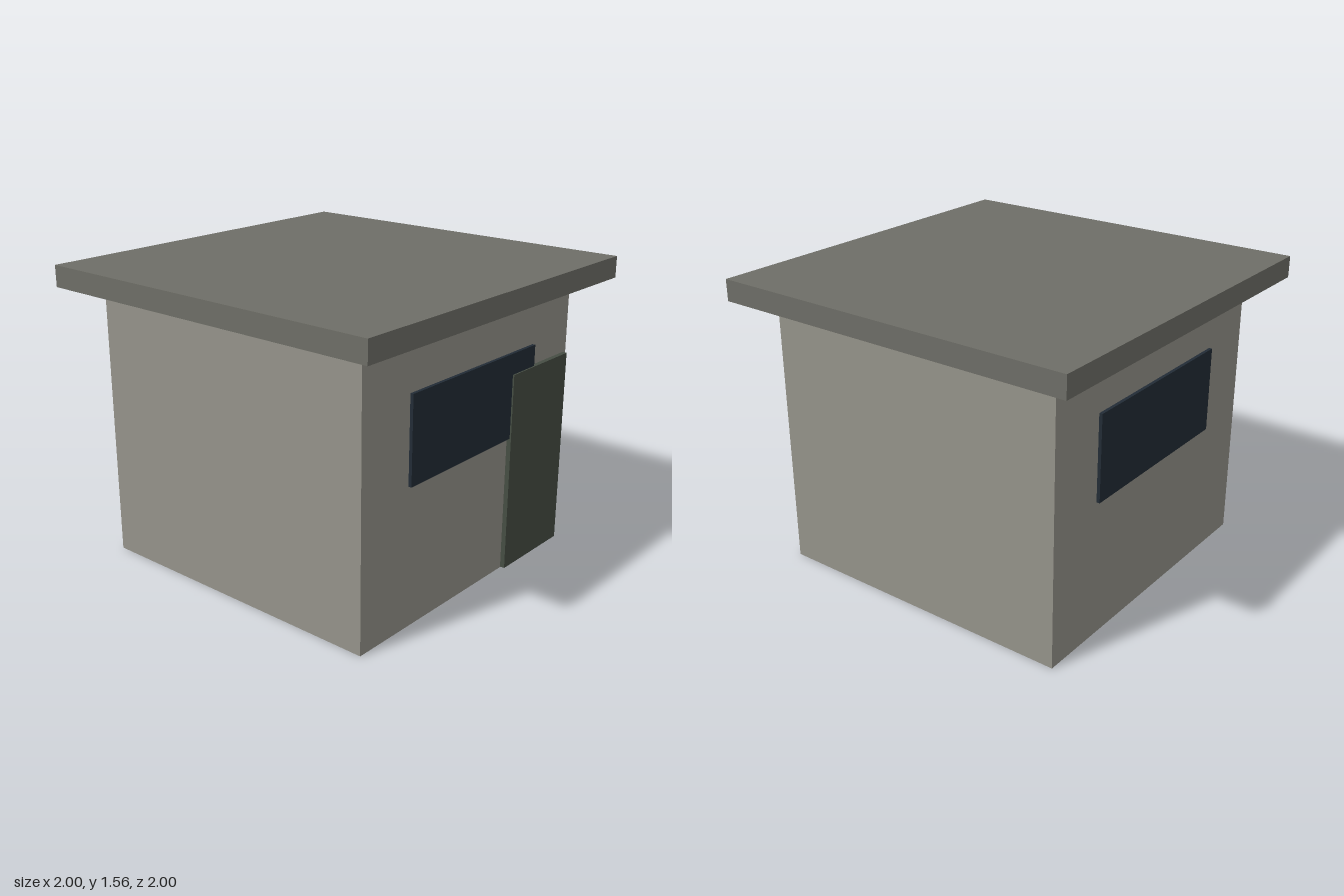
import * as THREE from 'three';

const material = (name, color) => {
  const m = new THREE.MeshStandardMaterial({ color });
  m.name = name;
  return m;
};

// Box given by its lower and upper corners
function block(name, mat, [x0, y0, z0], [x1, y1, z1]) {
  const mesh = new THREE.Mesh(new THREE.BoxGeometry(x1 - x0, y1 - y0, z1 - z0), mat);
  mesh.position.set((x0 + x1) / 2, (y0 + y1) / 2, (z0 + z1) / 2);
  mesh.name = name;
  return mesh;
}

export function createModel() {
  const concrete = material('concrete', 0x95938a);
  const roofGrey = material('roof grey', 0x6e6e67);
  const darkGlass = material('dark glass', 0x222c36);
  const doorGreen = material('door green', 0x464e44);

  const W = 0.833; // half width of the walls
  const model = new THREE.Group();
  model.name = 'guardHut';

  model.add(
    block('walls', concrete, [-W, 0, -W], [W, 1.444, W]),
    // Overhanging flat slab
    block('roof', roofGrey, [-1, 1.444, -1], [1, 1.556, 1]),
    // Wide windows standing slightly proud of the wall, front and back
    block('frontWindow', darkGlass, [-0.5, 0.722, W], [0.5, 1.167, 0.85]),
    block('backWindow', darkGlass, [-0.5, 0.722, -0.85], [0.5, 1.167, -W]),
    // Door overlaps the end of the front window
    block('door', doorGreen, [0.305, 0.003, W], [0.805, 1.057, 0.858])
  );
  return model;
}
